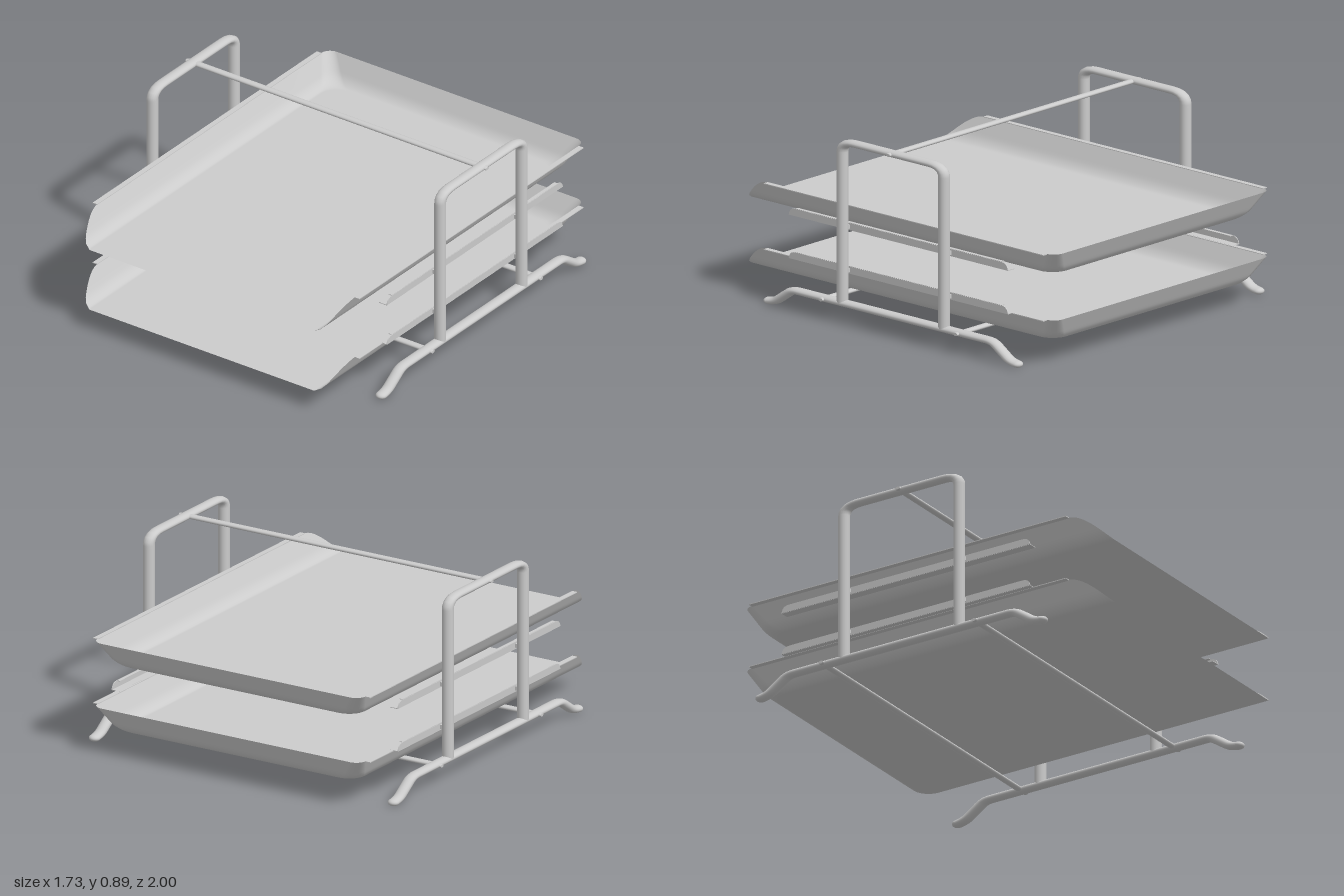
import * as THREE from 'three';

const MAT = new THREE.MeshStandardMaterial({ color: 0xcccccc, side: THREE.DoubleSide });
const SQUASH = 0.6; // the wire frame is flattened vertically
const TUBE_R = 0.028;
const SIDE_X = 0.826;
const MID_Z = -0.062;
const WALL_H = 0.125;

function add(parent, name, geometry, x = 0, y = 0, z = 0) {
  const mesh = new THREE.Mesh(geometry, MAT);
  mesh.name = name;
  mesh.position.set(x, y, z);
  parent.add(mesh);
  return mesh;
}

// Tube in the y-z plane through [z, y] points, with rounded bends
function bentTube(points, bend) {
  const pts = points.map(([z, y]) => new THREE.Vector3(0, y / SQUASH, z));
  const path = new THREE.CurvePath();
  let from = pts[0];
  for (let i = 1; i < pts.length - 1; i++) {
    const p = pts[i];
    const a = p.clone().add(pts[i - 1].clone().sub(p).setLength(bend));
    const b = p.clone().add(pts[i + 1].clone().sub(p).setLength(bend));
    path.add(new THREE.LineCurve3(from, a));
    path.add(new THREE.QuadraticBezierCurve3(a, p, b));
    from = b;
  }
  path.add(new THREE.LineCurve3(from, pts[pts.length - 1]));
  return new THREE.TubeGeometry(path, 120, TUBE_R, 16);
}

// Outward flare of the tray wall at height y: a fillet followed by a slope
function flare(y) {
  const e = Math.max(0, 1 - y / 0.045);
  return 0.03 * Math.sqrt(1 - e * e) + 0.065 * (y / WALL_H);
}

// Tray sheet: floor plus a wall round three sides that sinks away at the front
function trayGeometry() {
  const FRONT = 12, SIDE = 6, ARC = 8, ROWS = 12;
  const half = [];
  for (let i = 0; i <= FRONT; i++) half.push({ z: 1 - 0.2 * i / FRONT });
  for (let i = 1; i < SIDE; i++) half.push({ z: 0.8 - 1.55 * i / SIDE });
  for (let i = 0; i <= ARC; i++) half.push({ angle: (i / ARC) * Math.PI / 2 });
  const outline = [
    ...half.map((p) => ({ ...p, s: 1 })),
    ...half.map((p) => ({ ...p, s: -1 })).reverse(),
  ];
  const n = outline.length;
  const pos = [0, 0, 0];
  const index = [];
  for (let k = 0; k <= ROWS; k++) {
    const rowY = WALL_H * (k / ROWS) ** 1.6;
    for (const { z, angle, s } of outline) {
      const limit = z > 0.8 ? WALL_H * Math.sin((1 - z) / 0.2 * Math.PI / 2) : WALL_H;
      const y = Math.min(rowY, limit);
      const o = flare(y);
      const r = 0.09 - 0.4 * o;
      let x = 0.645 + o, pz = z;
      if (angle !== undefined) {
        x += r * (Math.cos(angle) - 1);
        pz = -0.905 - o + r * (1 - Math.sin(angle));
      }
      pos.push(s * x, y, pz);
    }
  }
  const at = (k, i) => 1 + k * n + i;
  for (let i = 0; i < n; i++) index.push(0, at(0, i), at(0, (i + 1) % n));
  for (let k = 0; k < ROWS; k++) {
    for (let i = 0; i < n - 1; i++) {
      const a = at(k, i), b = at(k + 1, i), c = at(k + 1, i + 1), d = at(k, i + 1);
      index.push(a, b, c, a, c, d);
    }
  }
  const g = new THREE.BufferGeometry();
  g.setAttribute('position', new THREE.Float32BufferAttribute(pos, 3));
  g.setIndex(index);
  g.computeVertexNormals();
  return g;
}

function makeTray(y) {
  const tray = new THREE.Group();
  tray.name = 'tray';
  tray.position.y = y;
  add(tray, 'traySheet', trayGeometry());
  for (const s of [1, -1]) {
    add(tray, 'trayLip', new THREE.BoxGeometry(0.027, 0.004, 1.76), s * 0.752, WALL_H - 0.002, -0.07);
  }
  return tray;
}

// Channel rail that opens inward, with the upper corners of its web rounded
function makeRail(side, y) {
  const rail = new THREE.Group();
  rail.name = 'trayRail';
  rail.position.set(side * 0.79, y, MID_Z);
  const L = 0.69, H = 0.034;
  const web = new THREE.Shape();
  web.moveTo(-L, 0);
  web.lineTo(L, 0);
  web.quadraticCurveTo(L - 0.005, H, L - 0.04, H);
  web.lineTo(-L + 0.04, H);
  web.quadraticCurveTo(-L + 0.005, H, -L, 0);
  const webGeo = new THREE.ExtrudeGeometry(web, { depth: 0.004, bevelEnabled: false });
  webGeo.translate(0, 0, -0.002).rotateY(Math.PI / 2);
  add(rail, 'railWeb', webGeo);
  add(rail, 'railLowerFlange', new THREE.BoxGeometry(0.044, 0.003, 2 * L), -side * 0.022, 0, 0);
  add(rail, 'railUpperFlange', new THREE.BoxGeometry(0.018, 0.003, 2 * L - 0.08), -side * 0.009, H, 0);
  // Tabs that fix the rail to the uprights
  for (const z of [0.32, -0.32]) {
    add(rail, 'railTab', new THREE.BoxGeometry(0.02, 0.02, 0.03), side * 0.008, H / 2, z);
  }
  return rail;
}

export function createModel() {
  const model = new THREE.Group();
  model.name = 'letterTray';
  const frame = new THREE.Group();
  frame.name = 'frame';
  frame.scale.y = SQUASH;
  model.add(frame);

  // Side frames: upright hoop and base runner with splayed feet
  const hoop = bentTube([
    [MID_Z + 0.32, 0.1], [MID_Z + 0.32, 0.881], [MID_Z - 0.32, 0.881], [MID_Z - 0.32, 0.1],
  ], 0.085);
  const runner = bentTube([
    [MID_Z + 0.78, 0.02], [MID_Z + 0.74, 0.025], [MID_Z + 0.63, 0.1],
    [MID_Z - 0.63, 0.1], [MID_Z - 0.74, 0.025], [MID_Z - 0.78, 0.02],
  ], 0.035);
  const footCap = new THREE.SphereGeometry(TUBE_R, 16, 12);
  const bars = [[0.881, MID_Z], [0.1, MID_Z + 0.425], [0.1, MID_Z - 0.425]];
  const screw = new THREE.CylinderGeometry(0.012, 0.017, 0.016, 16).rotateZ(-Math.PI / 2);
  for (const s of [1, -1]) {
    add(frame, 'sideHoop', hoop, s * SIDE_X);
    add(frame, 'baseRunner', runner, s * SIDE_X);
    for (const e of [1, -1]) {
      add(frame, 'footCap', footCap, s * SIDE_X, 0.02 / SQUASH, MID_Z + e * 0.78);
    }
    for (const [y, z] of bars) {
      add(frame, 'screwHead', screw, s * 0.855, y / SQUASH, z).rotation.y = s > 0 ? 0 : Math.PI;
    }
  }

  // Cross bars joining the side frames
  const bar = new THREE.CylinderGeometry(0.018, 0.018, 1.64, 16).rotateZ(Math.PI / 2);
  for (const [y, z] of bars) add(frame, 'crossBar', bar, 0, y / SQUASH, z);

  // Two trays and their rails
  for (const y of [0.111, 0.429]) model.add(makeTray(y));
  for (const s of [1, -1]) {
    for (const y of [0.235, 0.445]) model.add(makeRail(s, y));
  }
  return model;
}
